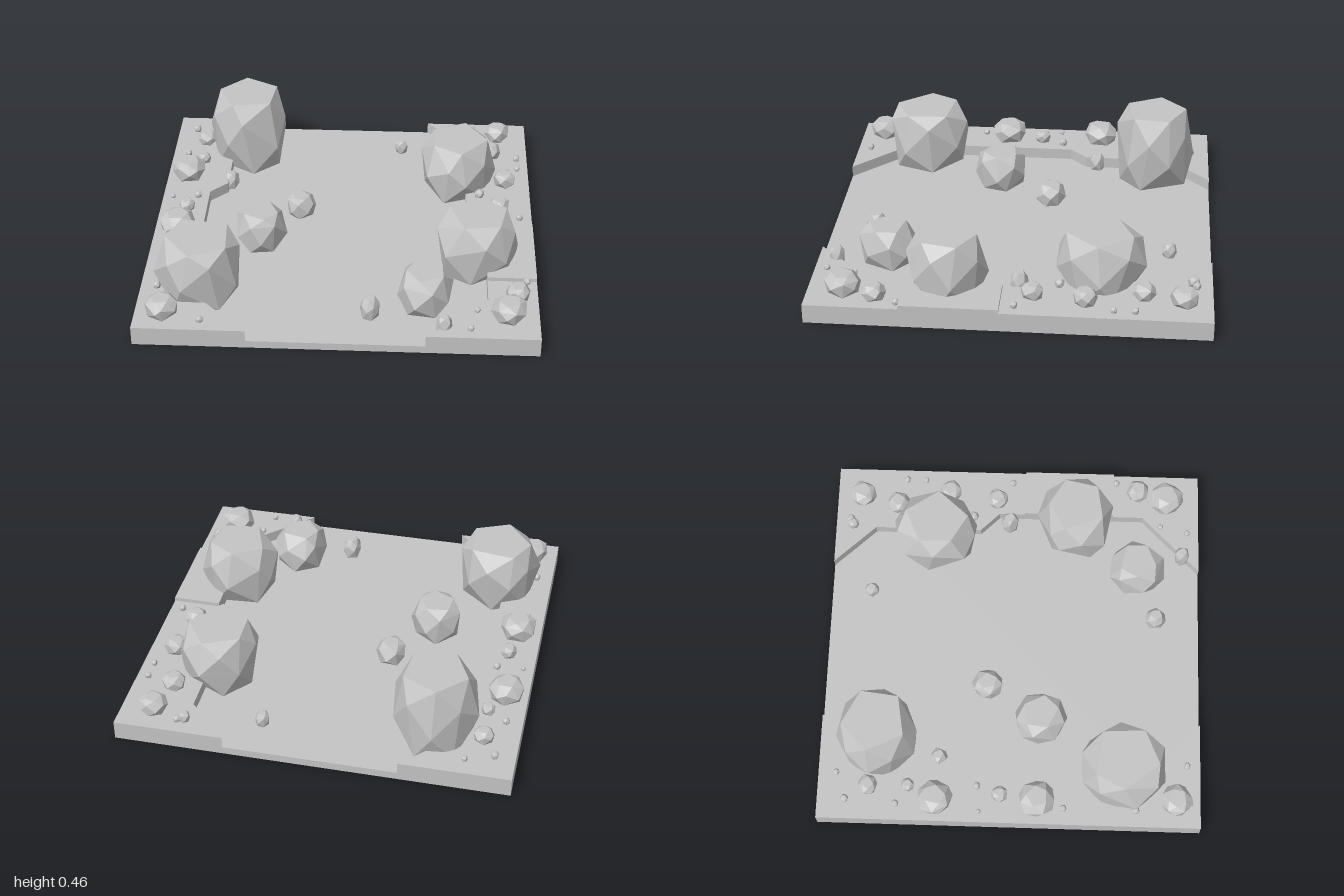
import * as THREE from 'three';
import { ConvexGeometry } from 'three/addons/geometries/ConvexGeometry.js';

const FLOOR = 0.04, BANK = 0.1;

// Small seeded generator, so each rock keeps its own shape
function seeded(seed) {
  let s = seed * 7919 + 17;
  return () => (s = (s * 16807) % 2147483647) / 2147483647;
}

// Faceted boulder: jittered rings under a flat top, fitted to a box standing on y = 0
function rockGeometry(width, height, depth, topRadius, seed) {
  const rand = seeded(seed);
  for (let i = 0; i < 5; i++) rand();
  const turn = rand() * Math.PI * 2;
  const rings = [
    // height, radius, half-step turn, jitter
    [1, topRadius, 0, 0],
    [0.76, 0.93, 0.5, 0.09],
    [0.42, 1, 0, 0.07],
    [0, 0.84, 0.5, 0],
  ];
  const points = [];
  for (const [y, r, offset, jitter] of rings) {
    for (let i = 0; i < 5; i++) {
      const a = turn + ((i + offset + (rand() - 0.5) * 0.3) / 5) * Math.PI * 2;
      const radius = r * (0.96 + rand() * 0.08);
      points.push(new THREE.Vector3(Math.cos(a) * radius, y + (rand() - 0.5) * 2 * jitter, Math.sin(a) * radius));
    }
  }
  const box = new THREE.Box3().setFromPoints(points);
  const size = box.getSize(new THREE.Vector3());
  const mid = box.getCenter(new THREE.Vector3());
  for (const p of points) {
    p.set(((p.x - mid.x) / size.x) * width, ((p.y - box.min.y) / size.y) * height, ((p.z - mid.z) / size.z) * depth);
  }
  return new ConvexGeometry(points);
}

// Flat slab from an outline of [x, z] points
function slabGeometry(outline, bottom, top) {
  const shape = new THREE.Shape(outline.map(([x, z]) => new THREE.Vector2(x, -z)));
  const geometry = new THREE.ExtrudeGeometry(shape, { depth: top - bottom, bevelEnabled: false });
  return geometry.rotateX(-Math.PI / 2).translate(0, bottom, 0);
}

export function createModel() {
  const model = new THREE.Group();
  model.name = 'rockyGround';
  const stone = new THREE.MeshStandardMaterial({ color: 0xc4c4c4 });
  stone.name = 'greyStone';

  const add = (name, geometry, x = 0, y = 0, z = 0) => {
    const mesh = new THREE.Mesh(geometry, stone);
    mesh.name = name;
    mesh.position.set(x, y, z);
    model.add(mesh);
  };

  // Ground: sunken floor between two banks, with a raised step on one bank
  add('channelFloor', new THREE.BoxGeometry(2, FLOOR, 2), 0, FLOOR / 2, 0);
  add('rightBank', slabGeometry(
    [[-1, -1], [-0.44, -1], [-0.66, -0.78], [-0.66, -0.31], [-0.75, -0.22], [-0.75, 0.69], [-0.44, 1], [-1, 1]],
    FLOOR, BANK));
  add('leftBank', slabGeometry(
    [[1, -1], [0.44, -1], [0.65, -0.78], [0.65, -0.2], [0.75, -0.1], [0.75, 0.69], [0.44, 1], [1, 1]],
    FLOOR, BANK));
  add('raisedStep', slabGeometry([[0.75, 0.04], [1, 0.04], [1, 0.53], [0.75, 0.53]], BANK, 0.12));

  // Boulders rising from the floor: x, z, width, depth, top height, top radius
  const boulders = [
    [-0.58, -0.695, 0.43, 0.43, 0.46, 0.76],
    [-0.715, 0.59, 0.43, 0.44, 0.37, 0.76],
    [0.61, -0.445, 0.41, 0.45, 0.35, 0.74],
    [0.7, 0.315, 0.42, 0.41, 0.365, 0.74],
    [0.435, 0.66, 0.28, 0.3, 0.245, 0.68],
    [-0.43, 0.16, 0.27, 0.275, 0.24, 0.68],
    [-0.24, -0.135, 0.155, 0.165, 0.15, 0.6],
    [0.16, 0.765, 0.1, 0.11, 0.15, 0.55],
    [-0.65, -0.37, 0.09, 0.085, 0.13, 0.55],
    [0.29, -0.785, 0.07, 0.075, 0.11, 0.55],
  ];
  boulders.forEach(([x, z, w, d, top, flat], i) => {
    add('boulder', rockGeometry(w, top - FLOOR, d, flat, i + 3), x, FLOOR, z);
  });

  // Stones on the banks: x, z, radius
  const stones = [
    [-0.885, -0.38, 0.09], [-0.875, 0.145, 0.092], [-0.865, 0.875, 0.083], [-0.825, -0.735, 0.05],
    [-0.815, -0.53, 0.035], [-0.855, -0.05, 0.042], [0.83, -0.855, 0.07], [0.79, -0.66, 0.06],
    [0.865, -0.375, 0.06], [0.825, -0.11, 0.055], [0.705, -0.04, 0.046], [0.9, 0.66, 0.06],
    [0.845, 0.825, 0.088], [0.53, 0.91, 0.04],
  ];
  stones.forEach(([x, z, r], i) => {
    const y = x === 0.705 || x === 0.53 ? FLOOR : BANK;
    add('stone', rockGeometry(r * 2, r * 0.9 + 0.02 + BANK - y, r * 2, 0.58, i + 40), x, y, z);
  });

  // Pebbles scattered along the banks: x, z, radius
  const pebbles = [
    [-0.895, -0.855, 0.02], [-0.755, -0.905, 0.016], [-0.915, -0.59, 0.018], [-0.945, -0.155, 0.013],
    [-0.81, -0.17, 0.02], [-0.915, 0.285, 0.017], [-0.915, 0.66, 0.02], [-0.67, 0.93, 0.018],
    [0.66, -0.905, 0.03], [0.695, -0.92, 0.02], [0.94, -0.62, 0.018], [0.94, -0.515, 0.016],
    [0.725, -0.24, 0.025], [0.935, -0.03, 0.018], [0.95, 0.545, 0.018], [0.695, 0.79, 0.015],
    [0.66, 0.935, 0.016],
  ];
  pebbles.forEach(([x, z, r], i) => {
    add('pebble', rockGeometry(r * 2, r * 1.6, r * 2, 0.5, i + 70), x, BANK, z);
  });

  return model;
}
